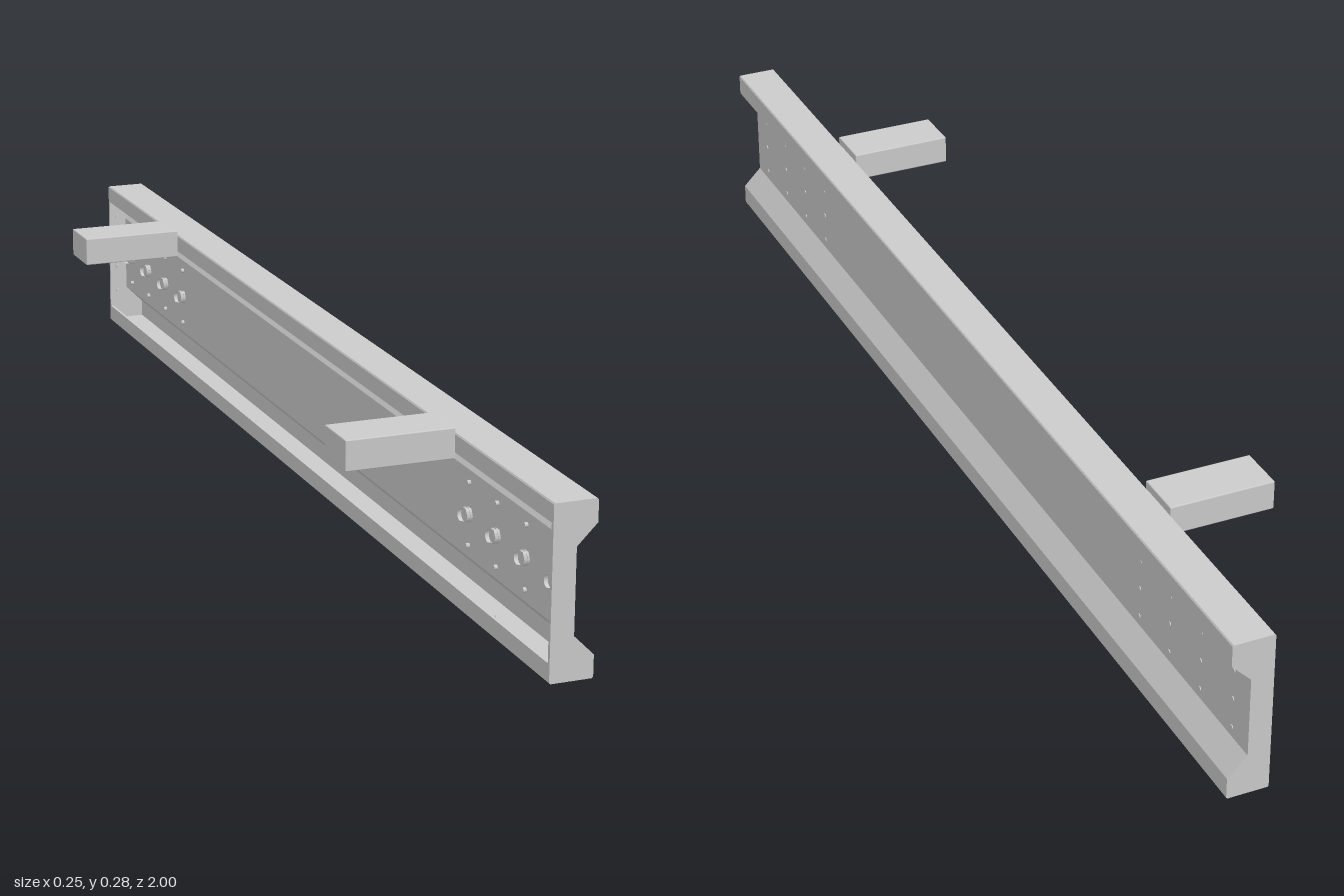
import * as THREE from 'three';
import { RoundedBoxGeometry } from 'three/addons/geometries/RoundedBoxGeometry.js';

const material = new THREE.MeshStandardMaterial({ color: 0xcccccc });
const LENGTH = 2, PLATE = 0.006, MID = 0.135;

// Lower half of the outer outline; the upper half mirrors it about MID
const outerHalf = [[0.054, 0.002], [0.056, 0], [0.121, 0], [0.123, 0.002], [0.123, 0.036], [0.091, 0.068]];
const innerHalf = [[0.059, 0.03], [0.059, 0.005], [0.118, 0.005], [0.118, 0.034], [0.086, 0.066]];
const mirrored = (half) => [...half, ...half.map(([x, y]) => [x, 2 * MID - y]).reverse()];
const toShape = (points) => new THREE.Shape(points.map(([x, y]) => new THREE.Vector2(x, y)));

function add(parent, name, geometry, x = 0, y = 0, z = 0) {
  const mesh = new THREE.Mesh(geometry, material);
  mesh.name = name;
  mesh.position.set(x, y, z);
  parent.add(mesh);
  return mesh;
}

function extrude(points, depth) {
  return new THREE.ExtrudeGeometry(toShape(points), { depth, bevelEnabled: false });
}

export function createModel() {
  const group = new THREE.Group();
  group.name = 'channelBeam';

  // Folded sheet channel, open at the back with a short lip above and below
  const outer = mirrored(outerHalf);
  const section = [[0.054, 0.03], ...outer, [0.054, 0.24], ...mirrored(innerHalf).reverse()];
  add(group, 'channel', extrude(section, LENGTH - 2 * PLATE), 0, 0, -LENGTH / 2 + PLATE);

  const stud = new THREE.CylinderGeometry(0.004, 0.004, 0.012, 10).rotateZ(Math.PI / 2);
  const bolt = new THREE.CylinderGeometry(0.009, 0.012, 0.012, 12).rotateZ(Math.PI / 2).scale(-1, 1, 1);
  bolt.rotateY(Math.PI);
  const nut = new THREE.CylinderGeometry(0.012, 0.012, 0.01, 6).rotateZ(Math.PI / 2);
  const endScrew = new THREE.CylinderGeometry(0.004, 0.004, 0.004, 10).rotateX(Math.PI / 2);

  for (const side of [-1, 1]) {
    // Solid end plate
    add(group, 'endPlate', extrude(outer, PLATE), 0, 0, side > 0 ? 1 - PLATE : -1);
    for (const y of [0.06, 0.11, 0.16, 0.21]) {
      add(group, 'endPlateScrew', endScrew, 0.068, y, side * (1 - PLATE - 0.002));
    }

    // Bolt pattern through the web
    for (const z of [0.65, 0.75, 0.85, 0.95]) {
      add(group, 'webNut', nut, 0.082, MID, side * z);
      add(group, 'webBolt', bolt, 0.076, MID, side * z);
      for (const dy of [-0.05, 0, 0.05]) {
        add(group, 'webStud', stud, 0.0865, MID + dy, side * z);
      }
    }

    // Thin strips along the lips
    for (const y of [0.027, 0.243]) {
      add(group, 'lipStrip', new THREE.BoxGeometry(0.004, 0.006, 0.6), 0.061, y, side * 0.5);
    }

    // Bracket arm reaching out behind the channel
    add(group, 'bracketArm', new RoundedBoxGeometry(0.176, 0.049, 0.082, 2, 0.002), -0.035, 0.2555, side * 0.626);
    add(group, 'bracketMount', new THREE.BoxGeometry(0.006, 0.03, 0.06), 0.053, 0.252, side * 0.626);
  }
  return group;
}
